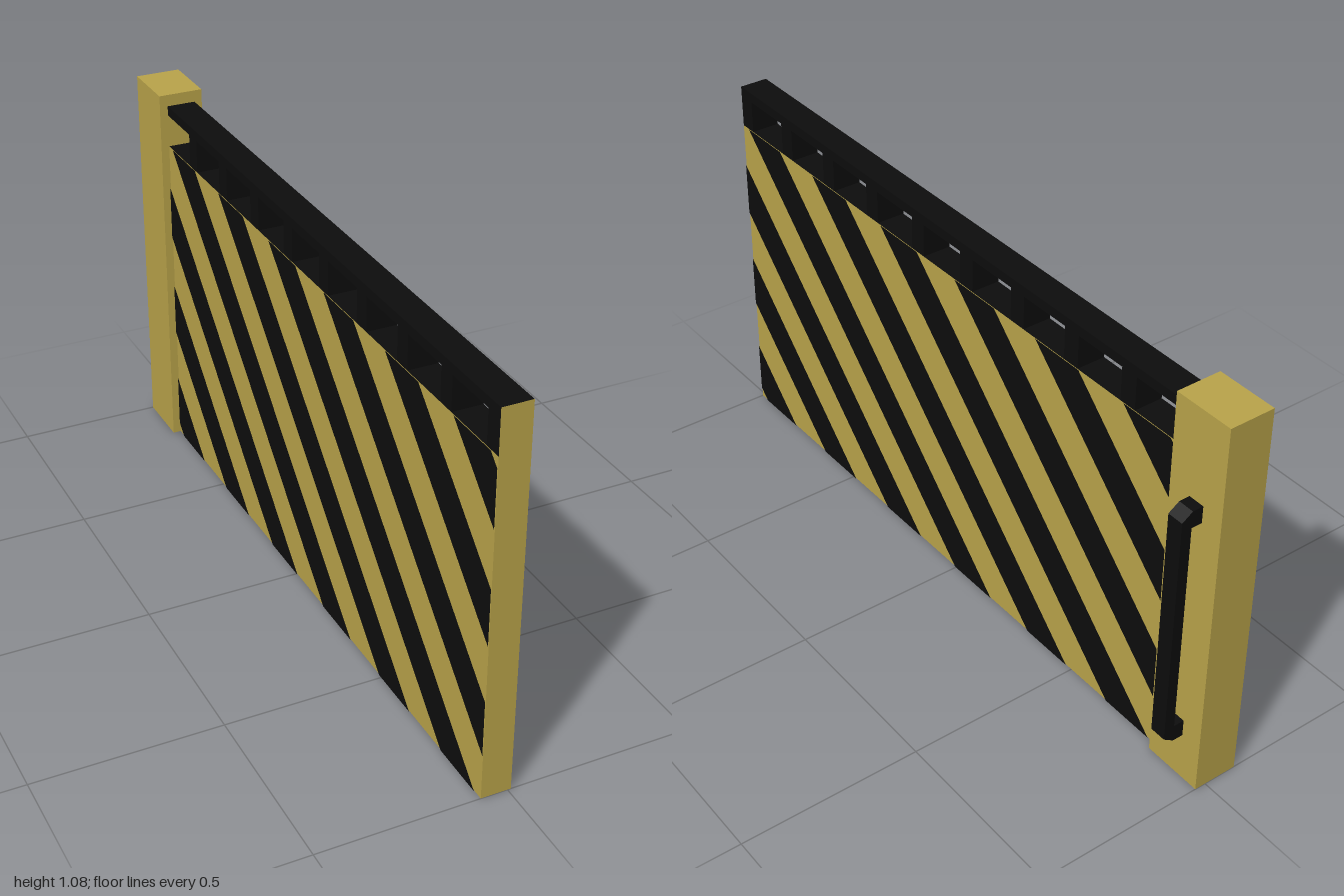
import * as THREE from 'three';

const yellow = new THREE.MeshStandardMaterial({ color: 0xbaa44a });
yellow.name = 'mustard yellow';
const black = new THREE.MeshStandardMaterial({ color: 0x0d0d0d });
black.name = 'black';

// Panel limits
const X0 = -0.071, X1 = 0.009, BACK = -0.83, FRONT = 1;
const LENGTH = FRONT - BACK, HEIGHT = 0.928, RAIL_BOTTOM = 1.02, TOP = 1.047;

// Box from its minimum and maximum corners
function box(name, [x0, y0, z0], [x1, y1, z1], material) {
  const geometry = new THREE.BoxGeometry(x1 - x0, y1 - y0, z1 - z0);
  geometry.translate((x0 + x1) / 2, (y0 + y1) / 2, (z0 + z1) / 2);
  const mesh = new THREE.Mesh(geometry, material);
  mesh.name = name;
  return mesh;
}

// Diagonal band between y = low - slope * u and y = high - slope * u, clipped to the panel
function stripeShape(low, high, slope) {
  const clampU = (u) => THREE.MathUtils.clamp(u, 0, LENGTH);
  const edge = (start) => [(start - HEIGHT) / slope, start / slope].map(clampU);
  const from = clampU((low - HEIGHT) / slope), to = clampU(high / slope);
  const us = [...new Set([from, ...edge(low), ...edge(high), to])].sort((a, b) => a - b);
  const clampY = (y) => THREE.MathUtils.clamp(y, 0, HEIGHT);
  const lower = us.map((u) => new THREE.Vector2(u, clampY(low - slope * u)));
  const upper = us.map((u) => new THREE.Vector2(u, clampY(high - slope * u))).reverse();
  const points = [...lower, ...upper];
  return new THREE.Shape(points.filter((p, i) => p.distanceTo(points[(i + 1) % points.length]) > 1e-5));
}

// All warning stripes for one face of the panel
function stripes(name) {
  const period = 0.309, shapes = [];
  for (let k = 0; k < 9; k++) {
    const low = 0.03 + k * period;
    if (low < HEIGHT + 0.96 * LENGTH) shapes.push(stripeShape(low, low + period / 2, 0.96));
  }
  const mesh = new THREE.Mesh(new THREE.ShapeGeometry(shapes), black);
  mesh.name = name;
  return mesh;
}

export function createModel() {
  const model = new THREE.Group();
  model.name = 'barrierGate';

  // Solid panel: yellow with a black top
  const topBlack = [yellow, yellow, black, yellow, yellow, yellow];
  model.add(box('panel', [X0, 0, BACK], [X1, HEIGHT, FRONT], topBlack));

  // Stripes on both faces, each slanting down to the viewer's right
  const leftStripes = stripes('leftStripes');
  leftStripes.rotation.y = Math.PI / 2;
  leftStripes.position.set(X1 + 0.002, 0, FRONT);
  const rightStripes = stripes('rightStripes');
  rightStripes.rotation.y = -Math.PI / 2;
  rightStripes.position.set(X0 - 0.002, 0, BACK);
  model.add(leftStripes, rightStripes);

  // Top rail on short uprights, with a yellow front end
  const frontYellow = [black, black, black, black, yellow, black];
  model.add(box('topRail', [X0, RAIL_BOTTOM, BACK], [X1, TOP, FRONT], frontYellow));
  for (let i = 0; i < 9; i++) {
    const z = FRONT - i * LENGTH / 9;
    model.add(box('upright', [X0, HEIGHT, z - 0.05], [X1, RAIL_BOTTOM, z], i ? black : frontYellow));
  }

  // End post
  model.add(box('post', [-0.094, 0, -1], [0.031, 1.08, BACK], yellow));

  // Pull handle with chamfered corners
  const outline = [
    [0.03, 0.134], [0.061, 0.134], [0.091, 0.155], [0.091, 0.814], [0.061, 0.834], [0.03, 0.834],
    [0.03, 0.787], [0.061, 0.787], [0.061, 0.182], [0.03, 0.182],
  ].map(([x, y]) => new THREE.Vector2(x, y));
  const handle = new THREE.Mesh(
    new THREE.ExtrudeGeometry(new THREE.Shape(outline), { depth: 0.045, bevelEnabled: false }), black);
  handle.name = 'handle';
  handle.position.z = -0.94;
  model.add(handle);

  return model;
}
